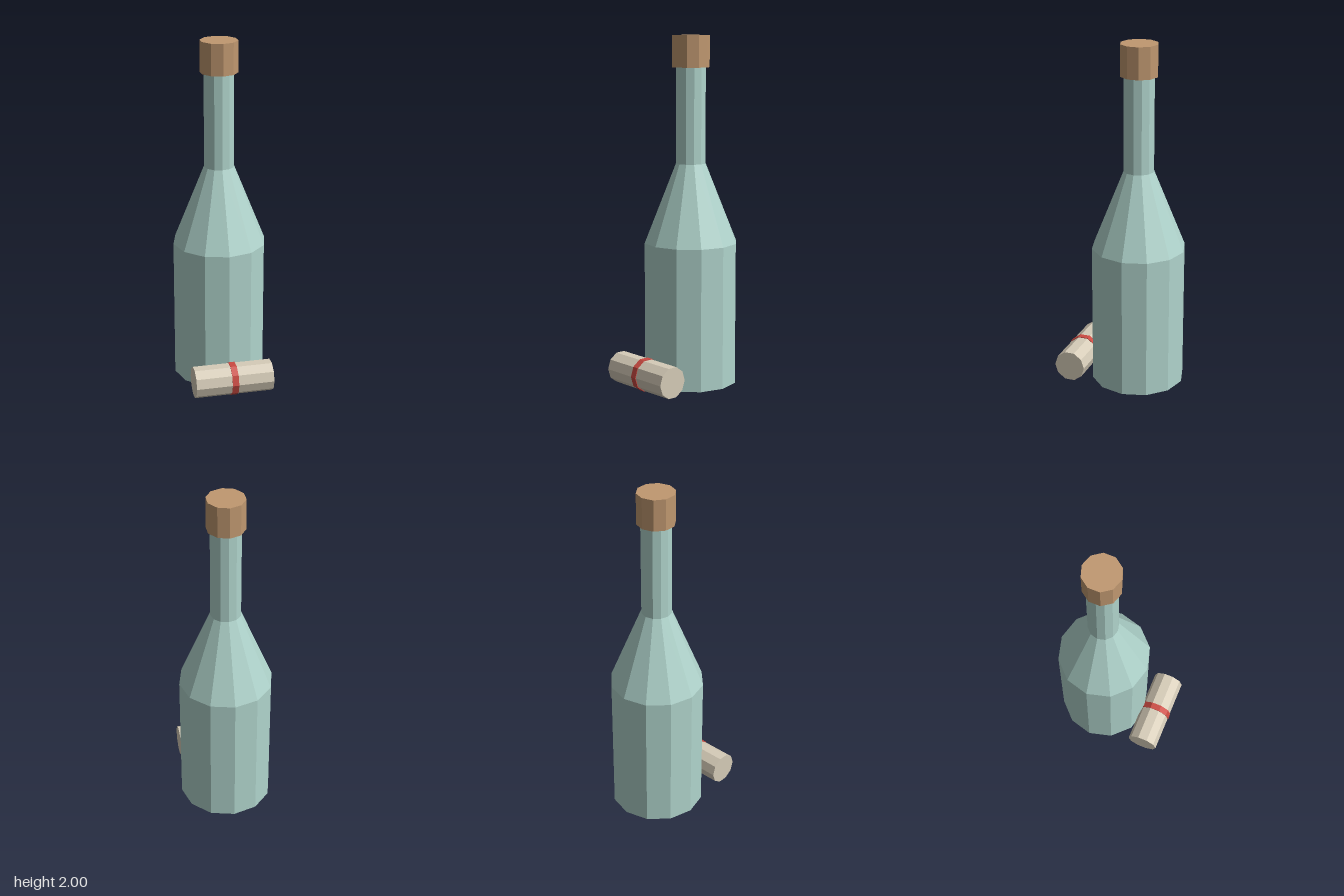
import * as THREE from 'three';

function flatMaterial(name, color) {
  const material = new THREE.MeshStandardMaterial({ color, flatShading: true });
  material.name = name;
  return material;
}

export function createModel() {
  const group = new THREE.Group();
  group.name = 'bottleWithScroll';

  const glass = flatMaterial('paleGreenGlass', 0xb0d4cc);
  const cork = flatMaterial('cork', 0xc09870);
  const paper = flatMaterial('paper', 0xd6ccb8);
  const ribbon = flatMaterial('redRibbon', 0xcb4a42);

  const add = (name, geometry, material, y, z) => {
    const mesh = new THREE.Mesh(geometry, material);
    mesh.name = name;
    mesh.position.set(0, y, z);
    group.add(mesh);
    return mesh;
  };

  // Bottle: twelve-sided body, shoulder and neck, closed at both ends
  const bottleZ = -0.085;
  const profile = [[0, 0], [0.27, 0], [0.27, 0.82], [0.087, 1.275], [0.087, 1.83], [0, 1.83]]
    .map(([r, y]) => new THREE.Vector2(r, y));
  add('bottle', new THREE.LatheGeometry(profile, 12), glass, 0, bottleZ);

  // Ten-sided stopper over the neck
  add('stopper', new THREE.CylinderGeometry(0.1075, 0.1075, 0.18, 10), cork, 1.91, bottleZ);

  // Rolled scroll lying in front, tied with a ribbon
  const lying = (name, radius, length, material) => {
    const geometry = new THREE.CylinderGeometry(radius, radius, length, 10);
    geometry.rotateZ(Math.PI / 2);
    return add(name, geometry, material, 0.095, 0.26);
  };
  lying('scroll', 0.091, 0.454, paper);
  lying('ribbonBand', 0.095, 0.037, ribbon);

  return group;
}
